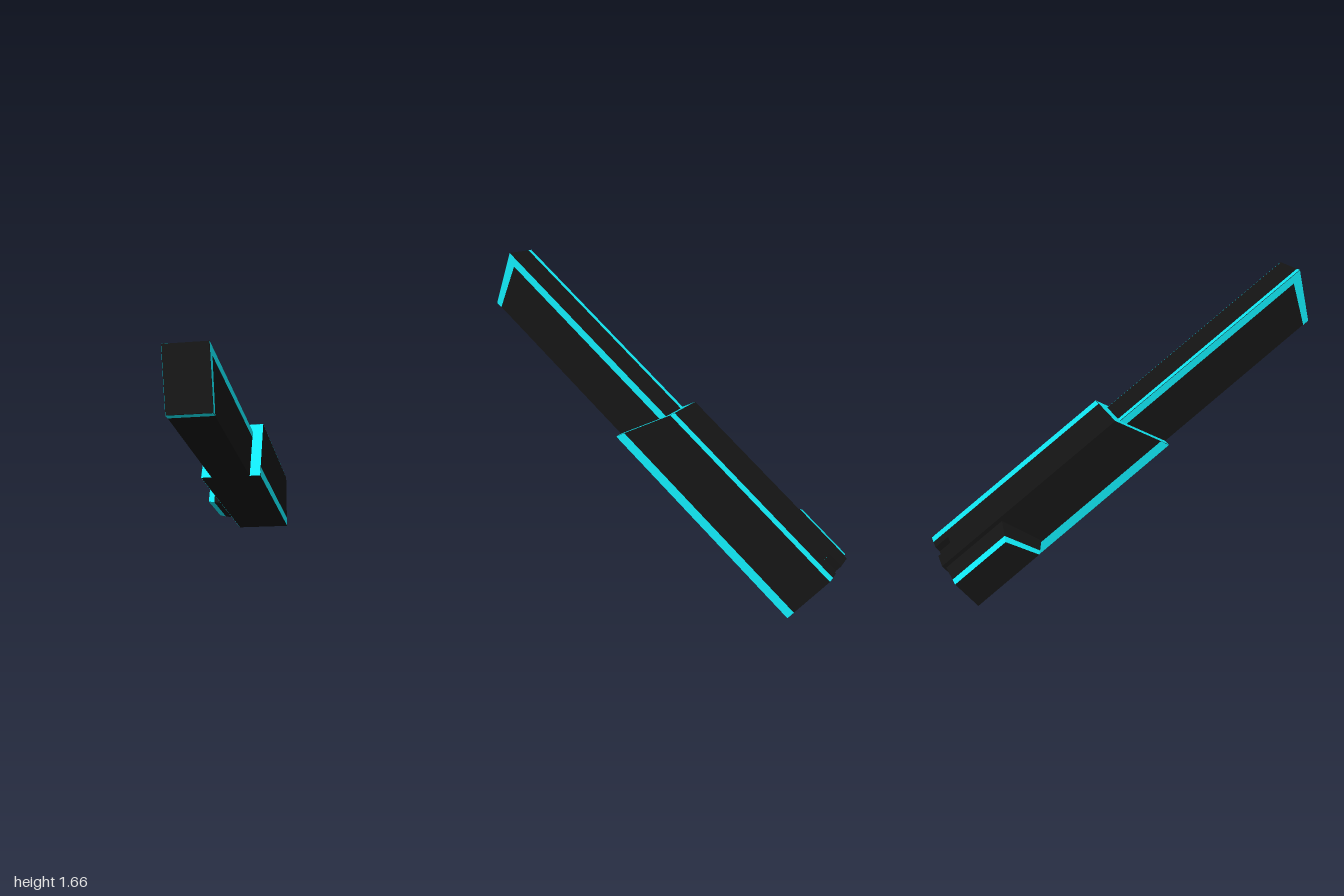
import * as THREE from 'three';

const dark = new THREE.MeshStandardMaterial({ color: 0x141414, flatShading: true });
const cyan = new THREE.MeshStandardMaterial({ color: 0x10e6f2, flatShading: true, side: THREE.DoubleSide });
const darkPanel = new THREE.MeshStandardMaterial({ color: 0x141414, flatShading: true, side: THREE.DoubleSide });

// Side profile given as [along, up] points, extruded across from x0 to x1
function slab(name, profile, x0, x1) {
  const shape = new THREE.Shape(profile.map(([l, u]) => new THREE.Vector2(l, u)));
  const geo = new THREE.ExtrudeGeometry(shape, { depth: x1 - x0, bevelEnabled: false });
  geo.rotateY(-Math.PI / 2).translate(x1, 0, 0);
  const mesh = new THREE.Mesh(geo, dark);
  mesh.name = name;
  return mesh;
}

// Flat panels, each a convex loop of [x, y, z] corners
function panels(name, loops, material = cyan) {
  const pos = [];
  for (const p of loops)
    for (let i = 1; i < p.length - 1; i++) pos.push(...p[0], ...p[i], ...p[i + 1]);
  const geo = new THREE.BufferGeometry();
  geo.setAttribute('position', new THREE.Float32BufferAttribute(pos, 3));
  geo.computeVertexNormals();
  const mesh = new THREE.Mesh(geo, material);
  mesh.name = name;
  return mesh;
}

// Panel in a side plane, from [along, up] points
const sidePanel = (x, pts) => pts.map(([l, u]) => [x, u, l]);
// Panel in a horizontal plane
const flatPanel = (y, x0, x1, l0, l1) => [[x0, y, l0], [x0, y, l1], [x1, y, l1], [x1, y, l0]];

export function createModel() {
  const model = new THREE.Group();
  const body = new THREE.Group();
  body.name = 'tiltedBody';
  model.add(body);

  // Tilt: across, up and along axes of the body
  const along = new THREE.Vector3(-0.052, 0.604, 0.795).normalize();
  const up = along.clone().cross(new THREE.Vector3(0.995, 0.1, -0.01)).normalize();
  const across = up.clone().cross(along);
  body.quaternion.setFromRotationMatrix(new THREE.Matrix4().makeBasis(across, up, along));
  body.position.copy(across).multiplyScalar(0.094);

  const e = 0.0015;
  const bottom = 0.488, top = 0.805, back = -0.64, half = 0.151;
  const frontLow = 0.628, frontHigh = 0.487;

  // Wide rear housing, with a notch in its upper back edge
  const full = [[back, bottom], [frontLow, bottom], [frontHigh, top], [back, top]];
  const nl = back + 0.085, nu = top - 0.035, nw = 0.045;
  const notched = [...full.slice(0, 3), [nl, top], [nl, nu], [back, nu]];
  body.add(slab('rearHousingRight', full, -half, -nw));
  body.add(slab('rearHousingMiddle', notched, -nw, nw));
  body.add(slab('rearHousingLeft', full, nw, half));
  body.add(panels('notchInlay', [[[-0.02, nu, nl - e], [0.02, nu, nl - e], [0.02, top - 0.005, nl - e], [-0.02, top - 0.005, nl - e]]]));

  // Slanted coloured front of the housing
  body.add(panels('housingFront', [[
    [-half, bottom, frontLow + e], [half, bottom, frontLow + e],
    [half, top, frontHigh + e], [-half, top, frontHigh + e]]]));

  // Housing stripes: along the upper left edge and low on both sides
  body.add(panels('housingTopStripe', [flatPanel(top + e, half - 0.05, half, back, frontHigh)]));
  for (const s of [-1, 1])
    body.add(panels('housingSideStripe', [sidePanel(s * (half + e),
      [[back, bottom], [frontLow, bottom], [frontLow - 0.022, bottom + 0.05], [back, bottom + 0.05]])]));

  // Narrow front barrel with a raked end
  const bTop = 0.757, bHalf = 0.098, tipLow = 1.622, tipHigh = 1.721;
  const tip = u => tipLow + (tipHigh - tipLow) * (u - bottom) / (bTop - bottom);
  body.add(slab('barrel', [[0.5, bottom], [tipLow, bottom], [tipHigh, bTop], [0.4, bTop]], -bHalf, bHalf));

  // Barrel stripes: along the top of each side and down the raked end
  const inner = bTop - 0.038;
  for (const s of [-1, 1]) {
    const x = s * (bHalf + e);
    body.add(panels('barrelSideStripe', [
      sidePanel(x, [[0.4, inner], [tip(inner), inner], [tipHigh, bTop], [0.4, bTop]]),
      sidePanel(x, [[tipLow - 0.035, bottom], [tipLow, bottom], [tip(inner), inner], [tip(inner) - 0.05, inner]])]));
  }
  body.add(panels('barrelTopStripe', [flatPanel(bTop + e, -bHalf, -bHalf + 0.027, 0.4, tipHigh)]));
  body.add(panels('barrelTipStripe', [flatPanel(bottom - e, -bHalf, bHalf, tipLow - 0.035, tipLow)]));

  // Tapered side block: cross-sections grow from the outer face to the housing
  const section = (x, t) => [
    [x, 0.569 - 0.025 * t, -0.63], [x, 0.569 - 0.025 * t, -0.234 + 0.04 * t],
    [x, 0.752 + 0.032 * t, -0.309 + 0.04 * t], [x, 0.752 + 0.032 * t, -0.63]];
  const outer = section(-0.279, 0), rim = section(-0.243, 0.3), base = section(-0.15, 1);
  const walls = (a, b) => a.map((p, i) => [p, a[(i + 1) % 4], b[(i + 1) % 4], b[i]]);
  const rimWalls = walls(outer, rim);
  body.add(panels('sideBlock', [outer, rimWalls[3], ...walls(rim, base)], darkPanel));
  body.add(panels('sideBlockRim', rimWalls.slice(0, 3)));

  return model;
}
